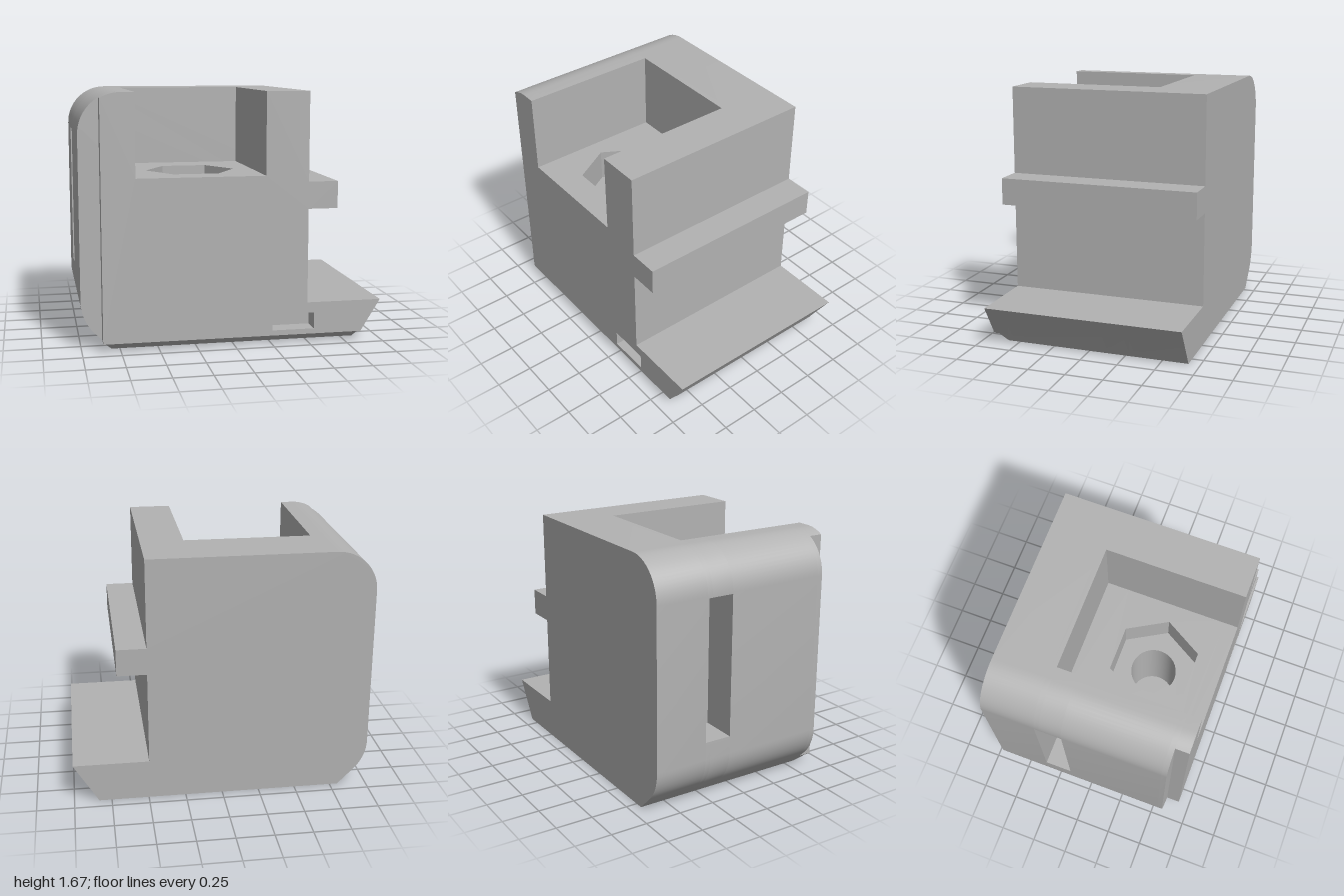
import * as THREE from 'three';
import { toCreasedNormals } from 'three/addons/utils/BufferGeometryUtils.js';

const grey = new THREE.MeshStandardMaterial({ color: 0xb2b2b2 });
grey.name = 'grey plastic';

const TOP = 1.67, BACK = -0.673, FRONT = 0.673;
const POCKET = { left: -0.645, right: 0.205, floor: 1.125, back: -0.275 };
const SLOT = { inner: -0.75, low: 0.44, high: 1.39, back: -0.31, front: -0.125 };
const HOLE_FLOOR = 0.3, NUT_FLOOR = 0.905;
const WINDOW_BACK = 0.545, NOTCH = 0.58, NOTCH_X = -0.865, LIP = 0.055;

function arc(cx, cy, r, from, to, steps) {
  return Array.from({ length: steps + 1 }, (_, i) => {
    const a = THREE.MathUtils.degToRad(from + (to - from) * i / steps);
    return [cx + r * Math.cos(a), cy + r * Math.sin(a)];
  });
}

const toShape = pts => new THREE.Shape(pts.map(p => new THREE.Vector2(...p)));

function rect(x0, x1, y0, y1) {
  return toShape([[x0, y0], [x1, y0], [x1, y1], [x0, y1]]);
}

// Side outline of the body, with optional cuts for each slab
function bodyProfile({ cutTo = null, slot = false, front = false, window = false }) {
  const right = [[1, 0.27], [0.493, 0.27], [0.493, 0.9], [0.69, 0.9], [0.69, 1.08], [0.493, 1.08], [0.493, TOP]];
  const pocket = cutTo === null ? [] : [
    [POCKET.right, TOP], [POCKET.right, cutTo], [POCKET.left, cutTo], [POCKET.left, TOP]];
  const slotCut = slot ? [
    [-1, SLOT.high], [SLOT.inner, SLOT.high], [SLOT.inner, SLOT.low], [-1, SLOT.low]] : [];
  const pts = front
    ? [[-0.859, LIP], [0.867, LIP], ...right, ...pocket,
      ...arc(-0.73, 1.4, 0.27, 90, 120, 6), [NOTCH_X, 0.061]]
    : [[-0.804, 0], [0.835, 0], [0.867, LIP], ...right, ...pocket,
      ...arc(-0.73, 1.4, 0.27, 90, 180, 16), ...slotCut,
      ...arc(-0.7, 0.32, 0.3, 180, 225, 8)];
  const shape = toShape(pts);
  if (window) shape.holes.push(rect(0.255, 0.54, 0.09, 0.2));
  return shape;
}

function extrude(shape, depth) {
  return new THREE.ExtrudeGeometry(shape, { depth, bevelEnabled: false, curveSegments: 32 });
}

export function createModel() {
  const group = new THREE.Group();
  group.name = 'bracketBlock';
  const add = (name, geometry) => {
    const mesh = new THREE.Mesh(geometry, grey);
    mesh.name = name;
    group.add(mesh);
  };

  // Body slabs from back to front
  const slabs = [
    ['rearWall', BACK, SLOT.back, {}],
    ['slotRear', SLOT.back, POCKET.back, { slot: true }],
    ['slotSection', POCKET.back, SLOT.front, { slot: true, cutTo: POCKET.floor }],
    ['middleSection', SLOT.front, WINDOW_BACK, { cutTo: HOLE_FLOOR }],
    ['windowSection', WINDOW_BACK, NOTCH, { cutTo: POCKET.floor, window: true }],
    ['frontFace', NOTCH, FRONT, { cutTo: POCKET.floor, window: true, front: true }],
  ];
  for (const [name, z0, z1, options] of slabs) {
    add(name, toCreasedNormals(extrude(bodyProfile(options), z1 - z0).translate(0, 0, z0), 0.4));
  }

  // Pocket floor: screw hole below, hexagonal nut recess above
  const floorLayer = (name, y0, y1, radius, sides) => {
    const shape = rect(POCKET.left, POCKET.right, -WINDOW_BACK, -SLOT.front);
    const ring = arc(-0.223, -0.22, radius, 0, 360, sides).slice(0, -1);
    shape.holes.push(new THREE.Path(ring.map(p => new THREE.Vector2(...p))));
    const geometry = extrude(shape, y1 - y0).rotateX(-Math.PI / 2).translate(0, y0, 0);
    add(name, toCreasedNormals(geometry, 0.4));
  };
  floorLayer('screwHole', HOLE_FLOOR, NUT_FLOOR, 0.155, 40);
  floorLayer('nutRecess', NUT_FLOOR, POCKET.floor, 0.302, 6);

  // Chamfered front bottom edge, tapered to follow the body outline
  const chamfer = new THREE.BoxGeometry(1, 1, 1).toNonIndexed();
  const pos = chamfer.attributes.position;
  for (let i = 0; i < pos.count; i++) {
    const up = pos.getY(i) > 0, right = pos.getX(i) > 0, front = pos.getZ(i) > 0;
    pos.setXYZ(i,
      right ? (up ? 0.867 : 0.835) : (up ? -0.859 : -0.804),
      up ? LIP : 0,
      front ? (up ? 0.638 : 0.583) : NOTCH);
  }
  chamfer.computeVertexNormals();
  add('bottomChamfer', chamfer);

  return group;
}
